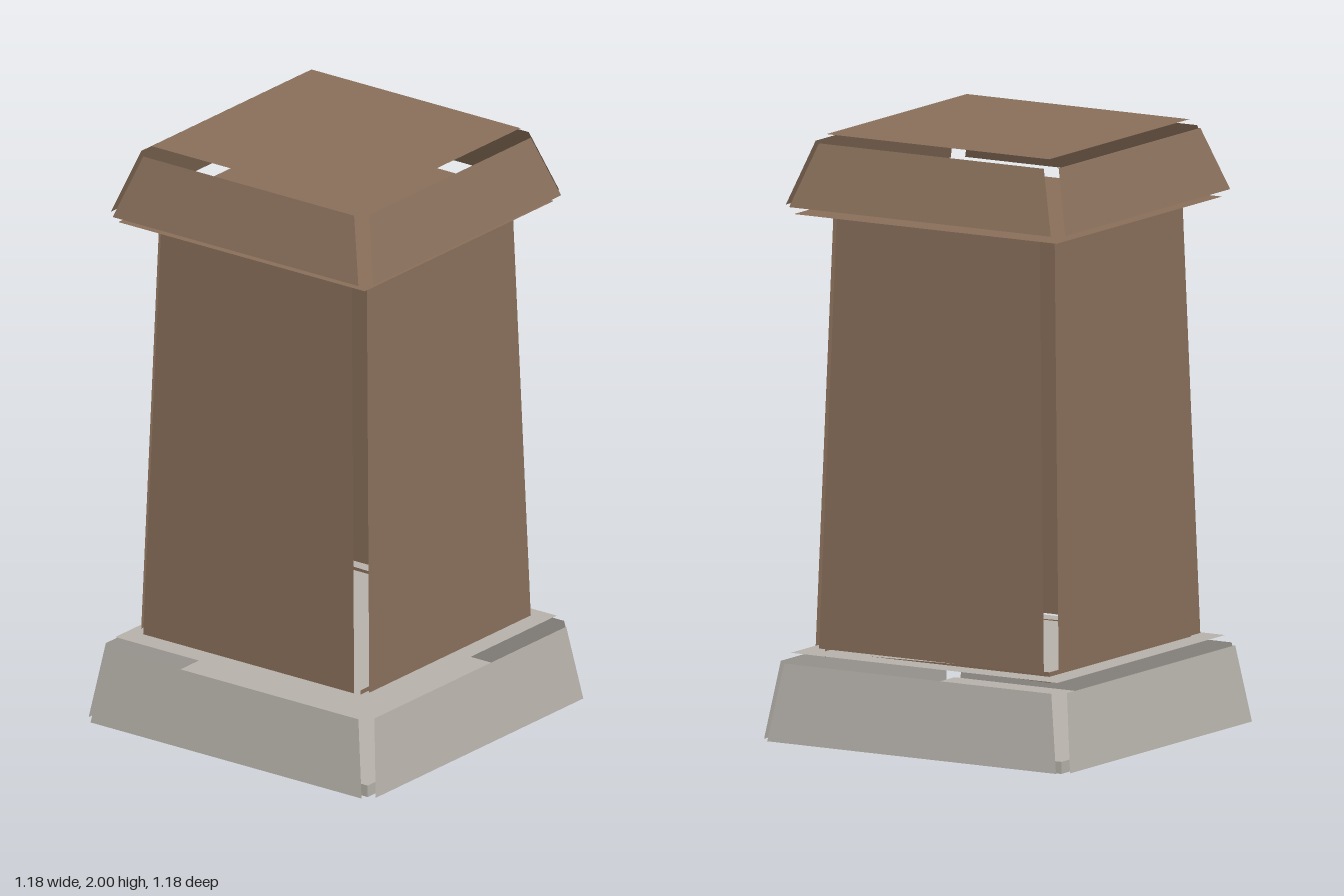
import * as THREE from 'three';

const brown = new THREE.MeshStandardMaterial({ color: 0x8a705b, side: THREE.DoubleSide });
brown.name = 'brown';
const stone = new THREE.MeshStandardMaterial({ color: 0xb8b3ac, side: THREE.DoubleSide });
stone.name = 'stoneGrey';

// Flat polygon from corner points, counter-clockwise seen from outside
function face(points) {
  const pos = [];
  for (let i = 1; i < points.length - 1; i++) pos.push(...points[0], ...points[i], ...points[i + 1]);
  const g = new THREE.BufferGeometry();
  g.setAttribute('position', new THREE.Float32BufferAttribute(pos, 3));
  g.computeVertexNormals();
  return g;
}

// Four leaning panels, open at the corners; each end is [half width, height, distance out]
function panelRing(name, material, [wb, yb, zb], [wt, yt, zt]) {
  const group = new THREE.Group();
  group.name = name;
  const geometry = face([[-wb, yb, zb], [wb, yb, zb], [wt, yt, zt], [-wt, yt, zt]]);
  for (let i = 0; i < 4; i++) {
    const panel = new THREE.Mesh(geometry, material);
    panel.name = name + 'Panel';
    panel.rotation.y = i * Math.PI / 2;
    group.add(panel);
  }
  return group;
}

// Horizontal square sheet, facing up or down
function sheet(name, material, half, y, up) {
  const mesh = new THREE.Mesh(new THREE.PlaneGeometry(half * 2, half * 2), material);
  mesh.name = name;
  mesh.rotation.x = up ? -Math.PI / 2 : Math.PI / 2;
  mesh.position.y = y;
  return mesh;
}

export function createModel() {
  const model = new THREE.Group();
  model.name = 'pillar';

  // Stone base: ground slab, sloping sides and top sheet
  const slab = new THREE.Mesh(new THREE.BoxGeometry(1.11, 0.04, 1.11), stone);
  slab.name = 'groundSlab';
  slab.position.y = 0.02;
  model.add(slab);
  model.add(panelRing('baseSide', stone, [0.555, 0.005, 0.588], [0.513, 0.26, 0.55]));
  model.add(sheet('baseTop', stone, 0.512, 0.29, true));

  // Tapered shaft
  model.add(panelRing('shaft', brown, [0.432, 0.305, 0.467], [0.39, 1.735, 0.425]));

  // Thin strips under the shaft: full on the sides, tapering on front and back
  for (const s of [1, -1]) {
    const strip = new THREE.Mesh(
      face([[0, 0.27, 0.432], [0, 0.27, -0.432], [0, 0.305, -0.432], [0, 0.305, 0.432]]), brown);
    strip.name = 'shaftFootSide';
    strip.position.x = s * 0.432;
    model.add(strip);
    const wedge = new THREE.Mesh(
      face([[-0.432, 0.27, 0], [0.4, 0.287, 0], [-0.432, 0.305, 0]]), brown);
    wedge.name = 'shaftFootWedge';
    wedge.position.z = s * 0.432;
    model.add(wedge);
  }

  // Cap: underside, sloping sides and top
  model.add(sheet('capUnderside', brown, 0.505, 1.74, false));
  model.add(panelRing('capSide', brown, [0.503, 1.768, 0.537], [0.432, 1.975, 0.467]));
  model.add(sheet('capTop', brown, 0.428, 2, true));

  return model;
}
